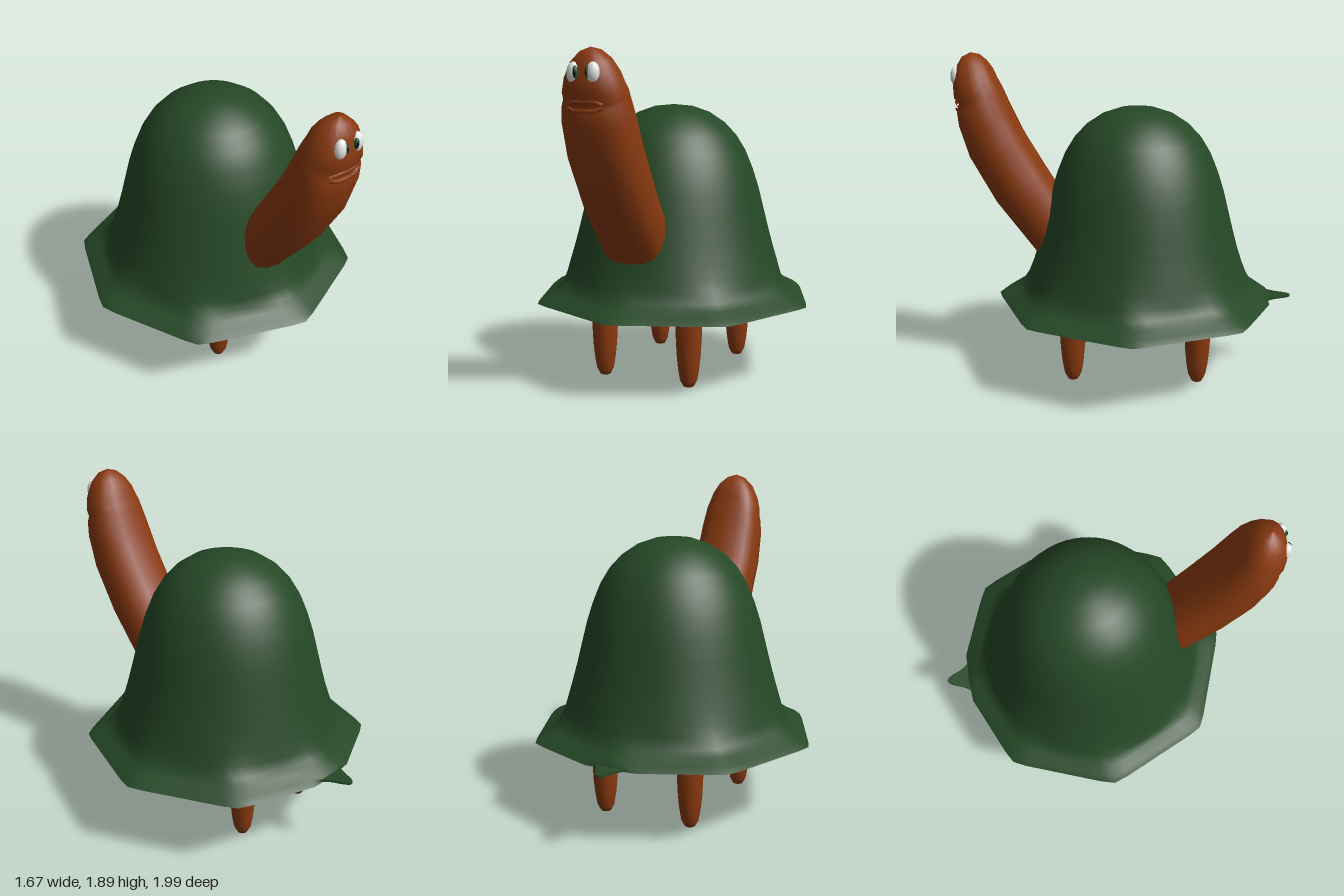
import * as THREE from 'three';
import { mergeVertices } from 'three/addons/utils/BufferGeometryUtils.js';

const mat = (name, color) => {
  const m = new THREE.MeshStandardMaterial({ color });
  m.name = name;
  return m;
};
const v2 = (list) => list.map(([a, b]) => new THREE.Vector2(a, b));
const SHELL_Z = -0.08;

// Lathe whose wide rim is pressed from a circle into an octagon
function shellGeometry(profile) {
  const g = new THREE.LatheGeometry(v2(profile), 64);
  const p = g.attributes.position;
  for (let i = 0; i < p.count; i++) {
    const x = p.getX(i), z = p.getZ(i), r = Math.hypot(x, z);
    const step = Math.PI / 4;
    const phi = Math.atan2(x, z) + Math.PI * 2;
    const a = (phi % step) - step / 2;
    const oct = Math.min(0.99, Math.cos(step / 2) / Math.cos(a));
    const k = THREE.MathUtils.lerp(1, oct, THREE.MathUtils.smoothstep(r, 0.6, 0.76));
    p.setX(i, x * k);
    p.setZ(i, Math.max(z * k, -0.785));
  }
  g.deleteAttribute('uv');
  g.deleteAttribute('normal');
  const out = mergeVertices(g, 1e-4);
  out.computeVertexNormals();
  return out;
}

// Skin over rings, each given by its front point, back point (z, y) and half width
function neckGeometry(rings, sides) {
  const pos = [], idx = [];
  const sq = (t) => Math.sign(t) * Math.abs(t) ** 0.85;
  for (const [fz, fy, bz, by, rx] of rings) {
    for (let j = 0; j < sides; j++) {
      const a = (j / sides) * Math.PI * 2;
      const c = sq(Math.cos(a)), s = sq(Math.sin(a));
      pos.push(rx * s, (fy + by) / 2 + (c * (fy - by)) / 2, (fz + bz) / 2 + (c * (fz - bz)) / 2);
    }
  }
  for (let i = 0; i < rings.length - 1; i++) {
    for (let j = 0; j < sides; j++) {
      const a = i * sides + j, b = i * sides + ((j + 1) % sides);
      idx.push(a, b, a + sides, b, b + sides, a + sides);
    }
  }
  const g = new THREE.BufferGeometry();
  g.setAttribute('position', new THREE.Float32BufferAttribute(pos, 3));
  g.setIndex(idx);
  g.computeVertexNormals();
  return g;
}

export function createModel() {
  const model = new THREE.Group();
  model.name = 'turtle';
  const green = mat('shell green', 0x254826);
  const brown = mat('skin brown', 0x8a3a10);
  const white = mat('eye white', 0xe6e6e6);
  const iris = mat('iris green', 0x1f5a35);
  const black = mat('pupil black', 0x101010);

  const add = (name, geo, material, x = 0, y = 0, z = 0) => {
    const m = new THREE.Mesh(geo, material);
    m.name = name;
    m.position.set(x, y, z);
    model.add(m);
    return m;
  };

  // Shell: domed top and nearly flat underside meeting at the rim
  add('shellDome', shellGeometry([
    [0.845, 0.445], [0.81, 0.472], [0.75, 0.5], [0.695, 0.535], [0.655, 0.59], [0.625, 0.66],
    [0.595, 0.75], [0.565, 0.86], [0.535, 0.98], [0.505, 1.1], [0.47, 1.21], [0.425, 1.32],
    [0.37, 1.41], [0.3, 1.485], [0.21, 1.545], [0.11, 1.58], [0, 1.59],
  ]), green, 0, 0, SHELL_Z);
  add('shellUnderside', shellGeometry([
    [0, 0.405], [0.35, 0.407], [0.62, 0.412], [0.75, 0.428], [0.845, 0.445],
  ]), green, 0, 0, SHELL_Z);

  // Tail: thin pointed flap behind the rim
  const flap = new THREE.Shape();
  flap.moveTo(-0.17, 0.81);
  flap.lineTo(-0.12, 0.845);
  flap.quadraticCurveTo(-0.07, 0.86, -0.04, 0.95);
  flap.quadraticCurveTo(-0.02, 1.0, 0, 1.0);
  flap.quadraticCurveTo(0.02, 1.0, 0.04, 0.95);
  flap.quadraticCurveTo(0.07, 0.86, 0.12, 0.845);
  flap.lineTo(0.17, 0.81);
  const tail = new THREE.ExtrudeGeometry(flap, { depth: 0.012, bevelEnabled: false, curveSegments: 6 });
  tail.rotateX(-Math.PI / 2);
  add('tail', tail, green, 0, 0.447, 0);

  // Neck and head, with a groove for the mouth
  add('neckAndHead', neckGeometry([
    [0.40, 0.57, 0.22, 0.83, 0.18],
    [0.52, 0.73, 0.28, 0.93, 0.195],
    [0.75, 1.03, 0.46, 1.22, 0.2],
    [0.90, 1.30, 0.58, 1.42, 0.2],
    [0.955, 1.48, 0.67, 1.61, 0.192],
    [0.965, 1.57, 0.70, 1.68, 0.18],
    [0.948, 1.60, 0.72, 1.72, 0.174],
    [0.978, 1.64, 0.735, 1.75, 0.165],
    [0.982, 1.72, 0.755, 1.80, 0.145],
    [0.965, 1.81, 0.79, 1.85, 0.107],
    [0.93, 1.87, 0.83, 1.885, 0.055],
    [0.88, 1.896, 0.88, 1.896, 0],
  ], 16), brown);

  // Lips
  const lip = (name, yMid, yEnd) => {
    const path = new THREE.CatmullRomCurve3([
      [-0.1, yEnd, 0.94], [-0.06, yMid, 0.956], [0, yMid, 0.962], [0.06, yMid, 0.956], [0.1, yEnd, 0.94],
    ].map((p) => new THREE.Vector3(...p)));
    add(name, new THREE.TubeGeometry(path, 12, 0.012, 6), brown);
  };
  lip('upperLip', 1.622, 1.606);
  lip('lowerLip', 1.578, 1.594);

  // Eyes and legs, mirrored left and right
  const ball = new THREE.SphereGeometry(1, 16, 12);
  const leg = new THREE.LatheGeometry(v2([
    [0, 0.004], [0.03, 0.012], [0.05, 0.05], [0.062, 0.12], [0.07, 0.2], [0.075, 0.3], [0.078, 0.43],
  ]), 14);
  for (const [side, s] of [['left', 1], ['right', -1]]) {
    add(side + 'Eye', ball, white, s * 0.056, 1.766, 0.956).scale.set(0.036, 0.056, 0.032);
    add(side + 'Iris', ball, iris, s * 0.037, 1.77, 0.972).scale.set(0.016, 0.033, 0.015);
    add(side + 'Pupil', ball, black, s * 0.033, 1.77, 0.98).scale.set(0.008, 0.02, 0.01);
    add(side + 'FrontLeg', leg, brown, s * 0.27, 0, 0.29);
    add(side + 'BackLeg', leg, brown, s * 0.27, 0, -0.44);
  }
  return model;
}
